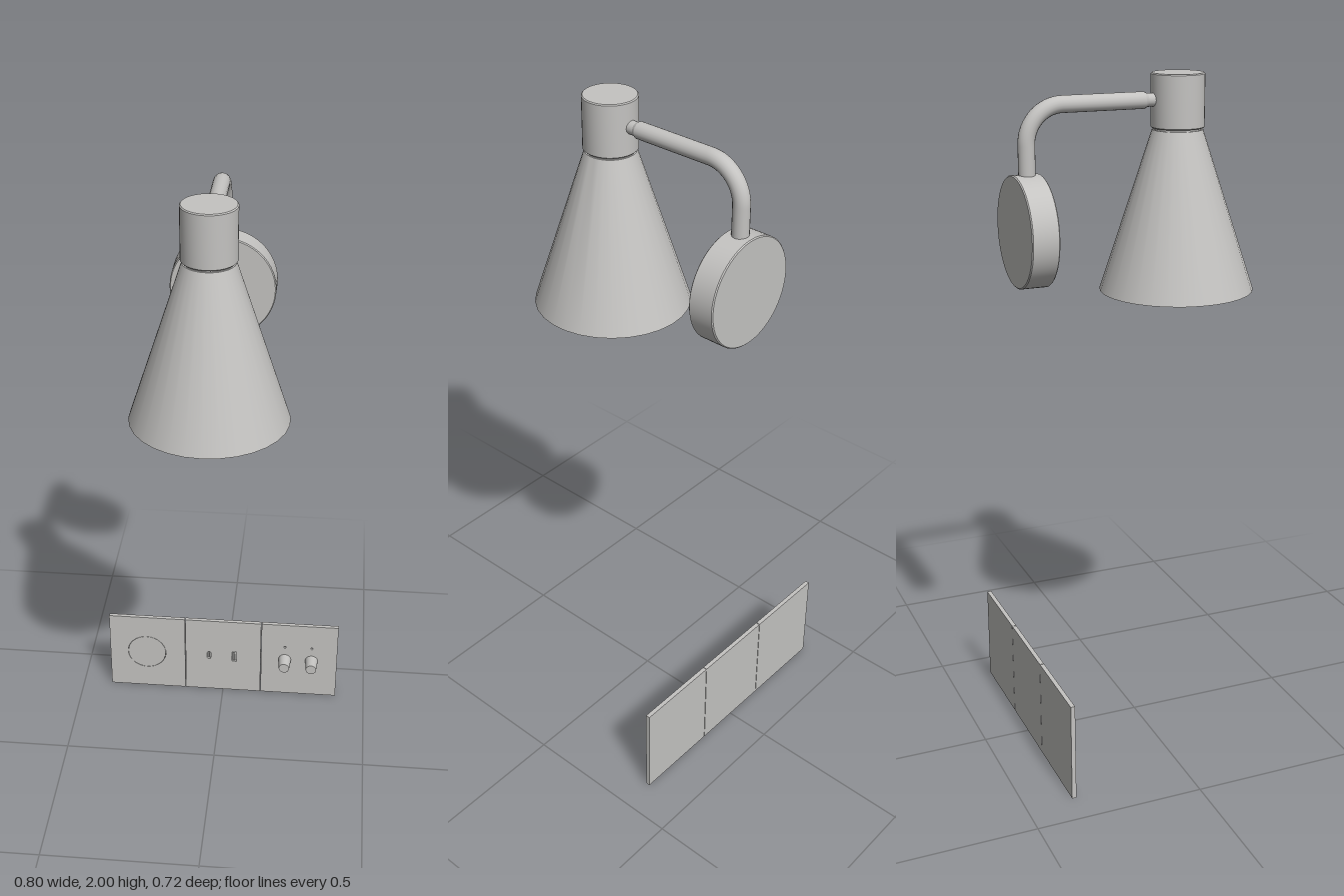
import * as THREE from 'three';
import { toCreasedNormals } from 'three/addons/utils/BufferGeometryUtils.js';

export function createModel() {
  const model = new THREE.Group();
  const metal = new THREE.MeshStandardMaterial({ color: 0xc4c3c1, side: THREE.DoubleSide });
  metal.name = 'light grey';

  const add = (parent, name, geometry, x = 0, y = 0, z = 0) => {
    const mesh = new THREE.Mesh(geometry, metal);
    mesh.name = name;
    mesh.position.set(x, y, z);
    parent.add(mesh);
    return mesh;
  };
  const group = (name) => {
    const g = new THREE.Group();
    g.name = name;
    model.add(g);
    return g;
  };
  const lathe = (profile, segments) => toCreasedNormals(
    new THREE.LatheGeometry(profile.map(([r, y]) => new THREE.Vector2(r, y)), segments), 0.6);
  // cylinder whose axis points to the front
  const disc = (front, back, depth, segments = 32) =>
    new THREE.CylinderGeometry(front, back, depth, segments).rotateX(Math.PI / 2);

  // Lamp head: hollow cone shade, narrow neck and cap
  const lamp = group('wallLamp');
  const headZ = 0.133;
  add(lamp, 'shade', lathe([
    [0.222, 1.378], [0.226, 1.378], [0.073, 1.842], [0.068, 1.842], [0.222, 1.378],
  ], 30), 0, 0, headZ);
  add(lamp, 'neck', new THREE.CylinderGeometry(0.069, 0.069, 0.016, 32), 0, 1.842, headZ);
  add(lamp, 'cap', lathe([
    [0, 1.847], [0.074, 1.847], [0.077, 1.85], [0.077, 1.997], [0.074, 2], [0, 2],
  ], 40), 0, 0, headZ);

  // Bent arm from the cap to the wall disc
  const armY = 1.927, armZ = -0.32, bend = 0.105, k = bend * 0.552;
  const path = new THREE.CurvePath();
  const v = (y, z) => new THREE.Vector3(0, y, z);
  path.add(new THREE.LineCurve3(v(armY, 0.028), v(armY, armZ + bend)));
  path.add(new THREE.CubicBezierCurve3(
    v(armY, armZ + bend), v(armY, armZ + bend - k), v(armY - bend + k, armZ), v(armY - bend, armZ)));
  path.add(new THREE.LineCurve3(v(armY - bend, armZ), v(1.72, armZ)));
  add(lamp, 'arm', new THREE.TubeGeometry(path, 72, 0.024, 20));
  add(lamp, 'armTaper', disc(0.019, 0.024, 0.01, 20), 0, armY, 0.033);
  add(lamp, 'armTip', disc(0.019, 0.019, 0.03, 20), 0, armY, 0.05);

  // Round wall mount with a slightly eased rim
  const mount = lathe([
    [0, 0], [0.155, 0], [0.158, 0.003], [0.158, 0.077], [0.155, 0.08], [0, 0.08],
  ], 64).rotateX(Math.PI / 2);
  add(lamp, 'wallMount', mount, 0, 1.582, -0.361);

  // Control panel: three plates side by side
  const panel = group('controlPanel');
  const back = -0.361, front = -0.348, panelW = 0.8 / 3, h = 0.3;
  const plate = (x0, x1, holes = []) => {
    const s = new THREE.Shape([[x0, 0], [x1, 0], [x1, h], [x0, h]].map(p => new THREE.Vector2(...p)));
    s.holes.push(...holes);
    return new THREE.ExtrudeGeometry(s, { depth: 0.008, bevelEnabled: false, curveSegments: 24 });
  };
  const slot = (x, y, w, tall, r) => {
    const p = new THREE.Path(), a = w / 2 - r, b = tall / 2 - r;
    p.absarc(x + a, y + b, r, 0, Math.PI / 2);
    p.absarc(x - a, y + b, r, Math.PI / 2, Math.PI);
    p.absarc(x - a, y - b, r, Math.PI, Math.PI * 1.5);
    p.absarc(x + a, y - b, r, Math.PI * 1.5, Math.PI * 2);
    p.closePath();
    return p;
  };
  const midY = 0.15, knobXs = [0.217, 0.311], padX = -0.27;
  const holes = [
    [slot(padX, midY, 0.134, 0.134, 0.067)],
    [slot(-0.05, midY, 0.013, 0.032, 0.0064), slot(0.04, midY, 0.016, 0.042, 0.002)],
    knobXs.map(x => slot(x, 0.204, 0.008, 0.008, 0.0039)),
  ];
  ['chargingPlate', 'socketPlate', 'switchPlate'].forEach((name, i) => {
    const x0 = -0.4 + panelW * i + (i ? 0.001 : 0);
    const x1 = -0.4 + panelW * (i + 1) - (i < 2 ? 0.001 : 0);
    add(panel, name, plate(x0, x1, holes[i]), 0, 0, front - 0.008);
    add(panel, name + 'Back', new THREE.BoxGeometry(x1 - x0, h, 0.005), (x0 + x1) / 2, h / 2, back + 0.0025);
  });

  // Flush charging pad and the tongues in the sockets
  add(panel, 'chargingPad', disc(0.066, 0.066, 0.008, 64), padX, midY, front - 0.004);
  add(panel, 'smallSocketTongue', new THREE.BoxGeometry(0.004, 0.02, 0.006), -0.05, midY, front - 0.005);
  add(panel, 'largeSocketTongue', new THREE.BoxGeometry(0.006, 0.034, 0.006), 0.038, midY, front - 0.005);

  // Tapered toggle knobs
  for (const x of knobXs) {
    add(panel, 'knob', disc(0.018, 0.022, 0.05), x, midY, front + 0.025);
  }
  return model;
}
